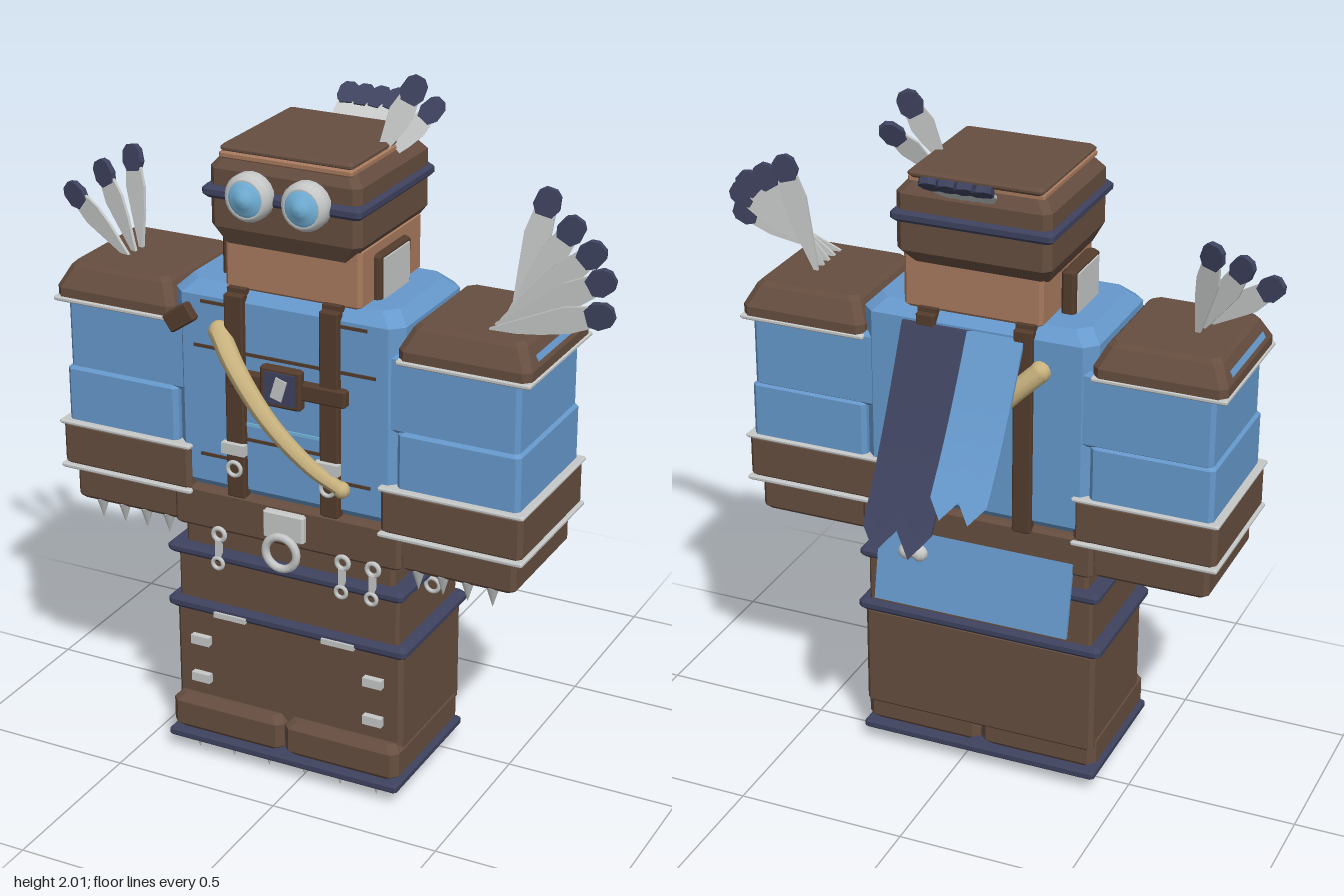
import * as THREE from 'three';

const CX = -0.055; // body centre line
const mat = (name, color, side = THREE.FrontSide) => {
  const m = new THREE.MeshStandardMaterial({ color, side });
  m.name = name;
  return m;
};

export function createModel() {
  const brown = mat('brown leather', 0x664e40);
  const strapBrown = mat('dark strap brown', 0x543c2d);
  const blue = mat('blue cloth', 0x6699cc, THREE.DoubleSide);
  const navy = mat('navy', 0x3e425e, THREE.DoubleSide);
  const skin = mat('skin', 0xa87a5e);
  const metal = mat('pale metal', 0xc6c8c8);
  const bone = mat('tan horn', 0xc8b27e);
  const lens = mat('lens blue', 0x74b4dc);

  const root = new THREE.Group();
  const add = (name, geo, m, parent = root) => {
    const mesh = new THREE.Mesh(geo, m);
    mesh.name = name;
    parent.add(mesh);
    return mesh;
  };

  // Loft of corner-cut rectangles: rows are [y, x0, x1, z0, z1, cornerCut]
  function loft(rows) {
    const rings = rows.map(([y, x0, x1, z0, z1, c]) => [
      [x1, z1 - c], [x1, z0 + c], [x1 - c, z0], [x0 + c, z0],
      [x0, z0 + c], [x0, z1 - c], [x0 + c, z1], [x1 - c, z1],
    ].map(([x, z]) => [x, y, z]));
    const pos = [];
    const tri = (...p) => p.forEach((v) => pos.push(...v));
    for (let r = 0; r + 1 < rings.length; r++) {
      for (let i = 0; i < 8; i++) {
        const j = (i + 1) % 8, lo = rings[r], hi = rings[r + 1];
        tri(lo[i], lo[j], hi[j]);
        tri(lo[i], hi[j], hi[i]);
      }
    }
    const top = rings[rings.length - 1];
    for (let i = 1; i < 7; i++) {
      tri(top[0], top[i], top[i + 1]);
      tri(rings[0][0], rings[0][i + 1], rings[0][i]);
    }
    const g = new THREE.BufferGeometry();
    g.setAttribute('position', new THREE.Float32BufferAttribute(pos, 3));
    g.computeVertexNormals();
    return g;
  }
  // Box given by its limits, with every edge cut by c
  const block = (name, x0, x1, y0, y1, z0, z1, m, c = 0.008) => add(name, loft([
    [y0, x0 + c, x1 - c, z0 + c, z1 - c, c], [y0 + c, x0, x1, z0, z1, c],
    [y1 - c, x0, x1, z0, z1, c], [y1, x0 + c, x1 - c, z0 + c, z1 - c, c]]), m);
  // The same, symmetric about the body centre line
  const mid = (name, hw, y0, y1, z0, z1, m, c) => block(name, CX - hw, CX + hw, y0, y1, z0, z1, m, c);
  const plate = (name, x, y, z, w, h, d, m) => {
    const p = add(name, new THREE.BoxGeometry(w, h, d), m);
    p.position.set(x, y, z);
    return p;
  };
  const spike = (name, x, yTop, z, h, r) => {
    const s = add(name, new THREE.ConeGeometry(r, h, 6).rotateX(Math.PI), metal);
    s.position.set(x, yTop - h / 2, z);
  };
  const ring = (name, x, y, z, r, t) => {
    const o = add(name, new THREE.TorusGeometry(r, t, 8, 20), metal);
    o.position.set(x, y, z);
    return o;
  };

  // Base, boots and legs
  mid('solePlate', 0.365, 0.04, 0.066, -0.085, 0.355, navy, 0.006);
  for (const s of [-1, 1]) {
    const a = CX + s * 0.001, b = CX + s * 0.36;
    block('boot', Math.min(a, b), Math.max(a, b), 0.064, 0.175, -0.07, 0.345, brown, 0.02);
  }
  mid('legs', 0.357, 0.13, 0.455, -0.08, 0.305, brown, 0.012);
  mid('kneeBand', 0.376, 0.445, 0.483, -0.09, 0.325, navy, 0.012);
  mid('upperLegs', 0.345, 0.47, 0.635, -0.075, 0.305, brown, 0.008);
  mid('hipBand', 0.368, 0.622, 0.654, -0.09, 0.33, navy, 0.01);
  mid('waist', 0.325, 0.64, 0.73, -0.06, 0.295, brown, 0.01);
  for (let i = 0; i < 6; i++) spike('soleNail', -0.34 + i * 0.114, 0.042, 0.315, 0.042, 0.012);
  for (const s of [-1, 1]) {
    for (const y of [0.235, 0.355]) plate('legClasp', CX + s * 0.273, y, 0.314, 0.058, 0.027, 0.02, metal);
    plate('bandPlate', CX + s * 0.17, 0.456, 0.322, 0.1, 0.016, 0.02, metal);
  }

  // Torso
  mid('torsoBelt', 0.35, 0.71, 0.835, -0.1, 0.312, brown, 0.01);
  mid('torso', 0.345, 0.825, 1.44, -0.098, 0.306, blue, 0.035);
  for (const s of [-1, 1]) {
    const x = CX + s * 0.143;
    block('chestStrap', x - 0.028, x + 0.028, 0.835, 1.43, 0.29, 0.325, strapBrown, 0.004);
    block('backStrap', x - 0.028, x + 0.028, 0.82, 1.43, -0.112, -0.08, strapBrown, 0.004);
    plate('strapTop', x, 1.433, 0.104, 0.055, 0.018, 0.4, strapBrown);
    plate('strapClip', x, 0.985, 0.33, 0.072, 0.032, 0.02, metal);
    ring('strapRing', x, 0.925, 0.332, 0.02, 0.006);
    for (const [y, w] of [[1.39, 0.1], [1.26, 0.15], [0.94, 0.12]])
      plate('seam', CX + s * 0.2, y, 0.306, w, 0.009, 0.008, strapBrown);
  }
  plate('seam', CX, 1.26, 0.306, 0.24, 0.009, 0.008, strapBrown);
  plate('seam', CX, 1.01, 0.306, 0.24, 0.009, 0.008, strapBrown);
  plate('lightSeam', CX, 1.055, 0.306, 0.3, 0.009, 0.008, lens);
  block('crossStrap', -0.22, 0.14, 1.165, 1.215, 0.3, 0.33, strapBrown, 0.005);
  block('buckleFrame', -0.112, 0.012, 1.135, 1.25, 0.31, 0.34, strapBrown, 0.006);
  plate('bucklePanel', -0.05, 1.193, 0.34, 0.095, 0.09, 0.008, navy);
  const emblem = plate('buckleLeaf', -0.05, 1.193, 0.345, 0.035, 0.062, 0.006, metal);
  emblem.rotation.z = -0.3;
  const tag = block('shoulderTag', -0.045, 0.045, -0.028, 0.028, -0.015, 0.015, strapBrown, 0.005);
  tag.position.set(-0.36, 1.34, 0.325);
  tag.rotation.z = 0.6;

  // Belt hangings
  block('beltTag', -0.115, 0.012, 0.735, 0.82, 0.3, 0.33, metal, 0.006);
  ring('beltRing', -0.052, 0.705, 0.34, 0.048, 0.012);
  for (const x of [-0.255, 0.13, 0.222]) {
    ring('hookRing', x, 0.71, 0.325, 0.018, 0.007);
    plate('hookBar', x, 0.665, 0.328, 0.016, 0.06, 0.016, metal);
    ring('hookEnd', x, 0.625, 0.335, 0.016, 0.006);
  }
  ring('sideHook', 0.318, 0.605, 0.148, 0.02, 0.006);

  // Arms, shoulder caps, cuffs and claws
  for (const s of [-1, 1]) {
    const part = (name, a, b, y0, y1, z0, z1, m, c) =>
      block(name, Math.min(CX + s * a, CX + s * b), Math.max(CX + s * a, CX + s * b), y0, y1, z0, z1, m, c);
    part('upperArm', 0.3, 0.682, 1.11, 1.335, -0.095, 0.3, blue, 0.012);
    part('sleeve', 0.335, 0.69, 0.94, 1.125, -0.1, 0.309, blue, 0.012);
    part('cuff', 0.292, 0.705, 0.82, 0.955, -0.103, 0.32, brown, 0.012);
    part('cuffTrim', 0.288, 0.711, 0.812, 0.826, -0.11, 0.327, metal, 0.004);
    part('cuffTrim', 0.288, 0.711, 0.947, 0.96, -0.11, 0.327, metal, 0.004);
    part('hand', 0.34, 0.68, 0.71, 0.82, -0.08, 0.297, brown, 0.012);
    part('capTrim', 0.335, 0.716, 1.315, 1.329, -0.107, 0.32, metal, 0.004);
    const cx = CX + s * 0.524;
    add('shoulderCap', loft([
      [1.326, cx - 0.188, cx + 0.188, -0.104, 0.315, 0.02],
      [1.355, cx - 0.188, cx + 0.188, -0.104, 0.315, 0.02],
      [1.41, cx - 0.16, cx + 0.16, -0.072, 0.285, 0.02],
      [1.422, cx - 0.148, cx + 0.148, -0.06, 0.273, 0.02]]), brown);
    const stripe = plate('capStripe', CX + s * 0.7, 1.374, 0.105, 0.008, 0.018, 0.28, blue);
    stripe.rotation.z = s * 0.47;
    for (let i = 0; i < 4; i++) spike('claw', CX + s * (0.39 + i * 0.073), 0.715, 0.275, 0.062, 0.019);
  }

  // Head, helmet and neck guards
  block('neck', -0.242, 0.165, 1.43, 1.6, -0.082, 0.285, skin, 0.01);
  add('helmet', loft([
    [1.56, -0.25, 0.14, -0.075, 0.285, 0.02], [1.61, -0.275, 0.172, -0.12, 0.308, 0.02],
    [1.77, -0.275, 0.172, -0.12, 0.308, 0.02], [1.8, -0.25, 0.147, -0.098, 0.288, 0.02]]), brown);
  block('brow', -0.247, 0.145, 1.795, 1.815, -0.09, 0.296, skin, 0.005);
  block('helmetTop', -0.247, 0.143, 1.81, 1.832, -0.1, 0.292, brown, 0.008);
  block('goggleBand', -0.287, 0.183, 1.69, 1.725, -0.13, 0.325, navy, 0.01);
  for (const s of [-1, 1]) {
    const side = CX + s * 0.218;
    block('neckGuard', side - 0.02, side + 0.02, 1.43, 1.565, 0.02, 0.21, strapBrown, 0.008);
    plate('guardPlate', side + s * 0.021, 1.495, 0.115, 0.008, 0.115, 0.15, metal);
    // Goggles
    const g = new THREE.Group();
    g.name = 'goggle';
    g.position.set(-0.053 + s * 0.083, 1.715, 0.3);
    const rim = [[0, 0], [0.058, 0], [0.066, 0.015], [0.066, 0.045], [0.056, 0.062], [0.05, 0.058], [0, 0.056]];
    add('goggleRim', new THREE.LatheGeometry(rim.map((p) => new THREE.Vector2(...p)), 20).rotateX(Math.PI / 2), metal, g);
    const dome = [[0.052, 0.056], [0.04, 0.064], [0.022, 0.068], [0.018, 0.075], [0, 0.077]];
    add('goggleLens', new THREE.LatheGeometry(dome.map((p) => new THREE.Vector2(...p)), 20).rotateX(Math.PI / 2), lens, g);
    root.add(g);
  }

  // Feathers: flat vane with a navy hexagonal tip
  const flat = (pts, d) => new THREE.ExtrudeGeometry(
    new THREE.Shape(pts.map((p) => new THREE.Vector2(...p))), { depth: d, bevelEnabled: false }).translate(0, 0, -d / 2);
  function feather(base, tip, normal, w = 0.032) {
    const b = new THREE.Vector3(...base), y = new THREE.Vector3(...tip).sub(b), L = y.length();
    y.normalize();
    const x = new THREE.Vector3().crossVectors(y, new THREE.Vector3(...normal)).normalize();
    const g = new THREE.Group();
    g.name = 'feather';
    g.quaternion.setFromRotationMatrix(new THREE.Matrix4().makeBasis(x, y, new THREE.Vector3().crossVectors(x, y)));
    g.position.copy(b);
    const t = L - 0.075;
    add('featherVane', flat([[-0.006, 0], [0.006, 0], [w * 0.8, t * 0.5], [w, t * 0.8], [w * 0.8, t + 0.01],
      [-w * 0.8, t + 0.01], [-w, t * 0.8], [-w * 0.7, t * 0.5]], 0.009), metal, g);
    add('featherTip', flat([[-w * 0.6, t], [w * 0.6, t], [w, t + 0.025], [w * 0.85, L - 0.015], [w * 0.4, L],
      [-w * 0.4, L], [-w * 0.85, L - 0.015], [-w, t + 0.025]], 0.018), navy, g);
    root.add(g);
  }
  [[0.59, 1.76, 0.04], [0.685, 1.705, 0.08], [0.765, 1.655, 0.115], [0.815, 1.595, 0.16], [0.835, 1.515, 0.205]]
    .forEach((t, i) => feather([0.505, 1.42, 0.07 + i * 0.038], t, [0.2, 0, 1], 0.036));
  [[-0.675, 1.7, 0.035], [-0.755, 1.655, 0.08], [-0.835, 1.585, 0.125]]
    .forEach((t, i) => feather([-0.62, 1.415, 0.09 + i * 0.035], t, [-0.2, 0, 1], 0.034));
  feather([0.115, 1.79, 0.09], [0.205, 2.0, 0.02], [0.4, 0, 1], 0.034);
  feather([0.115, 1.77, 0.06], [0.235, 1.925, -0.05], [0.4, 0.3, 1], 0.03);
  for (let i = 0; i < 4; i++)
    feather([-0.09 + i * 0.025, 1.76, -0.08], [-0.135 + i * 0.053, 1.87, -0.25], [0.15, 1, 0.6], 0.03);

  // Curved horns across the chest and the back
  function horn(name, points) {
    const path = new THREE.CatmullRomCurve3(points.map((p) => new THREE.Vector3(...p)));
    const N = 20, R = 10, g = new THREE.TubeGeometry(path, N, 0.031, R);
    const p = g.attributes.position, v = new THREE.Vector3();
    for (let k = 0; k < p.count; k++) {
      const t = Math.floor(k / (R + 1)) / N, c = path.getPointAt(t);
      v.fromBufferAttribute(p, k).sub(c).multiplyScalar(1 - 0.35 * t).add(c);
      p.setXYZ(k, v.x, v.y, v.z);
    }
    g.computeVertexNormals();
    add(name, g, bone);
    [[0, 0.031], [1, 0.024]].forEach(([t, r]) =>
      add(name + 'End', new THREE.SphereGeometry(r, 10, 8), bone).position.copy(path.getPointAt(t)));
  }
  horn('chestHorn', [[-0.245, 1.315, 0.315], [-0.17, 1.24, 0.365], [-0.06, 1.11, 0.382], [0.05, 0.99, 0.355], [0.125, 0.925, 0.32]]);
  horn('backHorn', [[-0.245, 1.315, -0.1], [-0.17, 1.24, -0.122], [-0.06, 1.11, -0.13], [0.05, 0.99, -0.118], [0.125, 0.925, -0.1]]);

  // Cape strips with notched ends, bent along their length
  function cape(name, x0, x1, yEnd, zEnd, m) {
    const g = new THREE.BoxGeometry(1, 1, 0.01, 4, 8, 1), p = g.attributes.position;
    for (let k = 0; k < p.count; k++) {
      const u = p.getX(k) + 0.5, notch = Math.round(u * 4) % 2 ? 0 : 0.13;
      const t = (0.5 - p.getY(k)) * (1 - notch * (0.5 - p.getY(k)));
      p.setXYZ(k, x0 + (x1 - x0) * u, 1.4 + (yEnd - 1.4) * (t - 0.06 * Math.sin(t * Math.PI) * -1),
        -0.105 + (zEnd + 0.105) * t + p.getZ(k));
    }
    g.computeVertexNormals();
    add(name, g, m);
  }
  cape('blueCape', -0.2, -0.035, 0.97, -0.385, blue);
  cape('navyCape', -0.045, 0.157, 0.845, -0.41, navy);

  // Cloth tail and hanging bone behind the hips
  const tail = plate('tailCloth', CX, 0.645, -0.115, 0.59, 0.235, 0.01, blue);
  tail.rotation.x = 0.19;
  const shaft = add('hangingBone', new THREE.CylinderGeometry(0.02, 0.024, 0.11, 10), metal);
  shaft.position.set(0.13, 0.745, -0.115);
  for (const [dx, y] of [[-0.02, 0.69], [0.02, 0.69], [-0.016, 0.795], [0.016, 0.795]])
    add('boneKnob', new THREE.SphereGeometry(0.025, 10, 8), metal).position.set(0.13 + dx, y, -0.112);

  return root;
}
